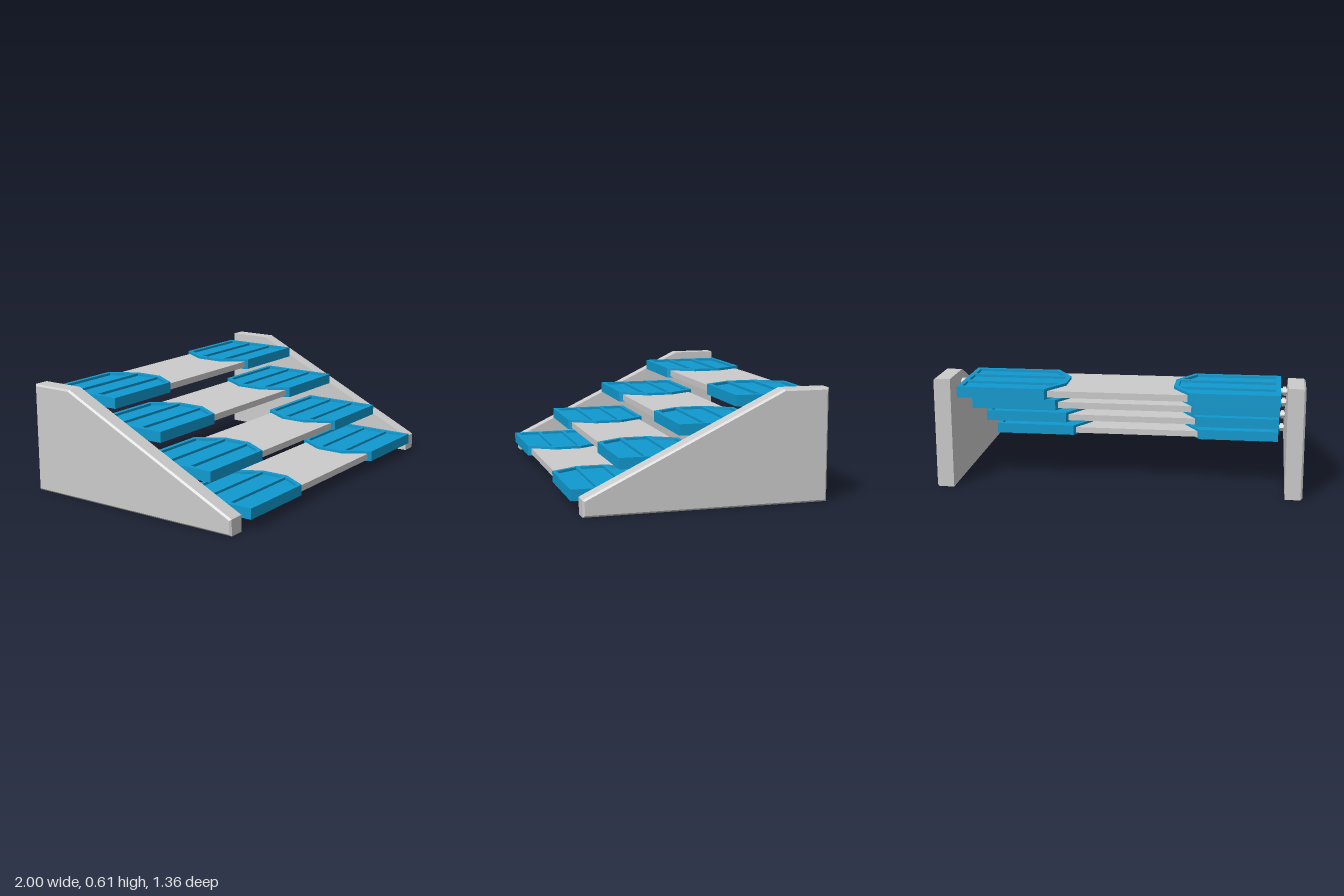
import * as THREE from 'three';

const grey = new THREE.MeshStandardMaterial({ color: 0xcccccc, flatShading: true });
const blue = new THREE.MeshStandardMaterial({ color: 0x109ad0, flatShading: true });

function part(name, geometry, material) {
  const mesh = new THREE.Mesh(geometry, material);
  mesh.name = name;
  return mesh;
}

const outline = (points) => points.map(([x, y]) => new THREE.Vector2(x, y));

// Flat plate lying in xz with its underside at height y
function plate(shape, y, height) {
  return new THREE.ExtrudeGeometry(shape, { depth: height, bevelEnabled: false })
    .rotateX(-Math.PI / 2).translate(0, y, 0);
}

// Sloped end panel, bevelled on its outer face only
function sidePanelGeometry() {
  const b = 0.01;
  const shape = new THREE.Shape(outline([
    [-0.645, 0], [0.68, 0], [0.68, 0.61], [0.43, 0.61], [-0.645, 0.09],
  ]));
  const geo = new THREE.ExtrudeGeometry(shape, {
    depth: 0.085, bevelThickness: b, bevelSize: b, bevelOffset: -b, bevelSegments: 1,
  });
  const p = geo.attributes.position;
  for (let i = 0; i < p.count; i++) p.setZ(i, Math.max(0, p.getZ(i)));
  geo.rotateY(Math.PI / 2).translate(0.905, 0, 0);
  geo.computeVertexNormals();
  return geo;
}

// Chamfered tread cap with a rim and two ribs around three sunken panels
function treadCap() {
  const cap = new THREE.Group();
  cap.name = 'treadCap';
  const points = outline([
    [0.87, -0.235], [0.87, 0.235], [0.39, 0.235], [0.295, 0.08],
    [0.295, -0.08], [0.39, -0.235],
  ]);
  cap.add(part('capBody', plate(new THREE.Shape(points), -0.03, 0.046), blue));
  const rim = new THREE.Shape(points);
  rim.holes.push(new THREE.Path(outline([
    [0.845, -0.067], [0.32, -0.067], [0.32, 0.067], [0.845, 0.067],
  ])));
  for (const s of [-1, 1]) {
    rim.holes.push(new THREE.Path(outline([
      [0.845, 0.09 * s], [0.33, 0.09 * s], [0.404, 0.21 * s], [0.845, 0.21 * s],
    ])));
  }
  cap.add(part('capRim', plate(rim, 0.016, 0.014), blue));

  // Pin and hexagonal nut joining the cap to the side panel
  const pin = part('pin', new THREE.CylinderGeometry(0.016, 0.016, 0.06, 16), grey);
  const nut = part('nut', new THREE.CylinderGeometry(0.026, 0.026, 0.02, 6), grey);
  for (const [mesh, x] of [[pin, 0.885], [nut, 0.89]]) {
    mesh.rotation.z = Math.PI / 2;
    mesh.position.x = x;
    cap.add(mesh);
  }
  return cap;
}

export function createModel() {
  const model = new THREE.Group();
  model.name = 'steppedRack';

  // Side panels
  const panelGeo = sidePanelGeometry();
  for (const s of [-1, 1]) {
    const panel = part(s > 0 ? 'leftPanel' : 'rightPanel', panelGeo, grey);
    panel.scale.x = s;
    model.add(panel);
  }

  // Four steps rising toward the back
  const steps = [[0.09, 0.445], [0.24, 0.19], [0.4, -0.135], [0.54, -0.445]];
  steps.forEach(([y, z], i) => {
    const step = new THREE.Group();
    step.name = `step${i + 1}`;
    step.position.set(0, y, z);
    step.add(part('plank', new THREE.BoxGeometry(1.6, 0.036, 0.43), grey));
    step.children[0].position.y = -0.003;
    const left = treadCap();
    const right = treadCap();
    right.rotation.y = Math.PI;
    step.add(left, right);
    model.add(step);
  });
  return model;
}
